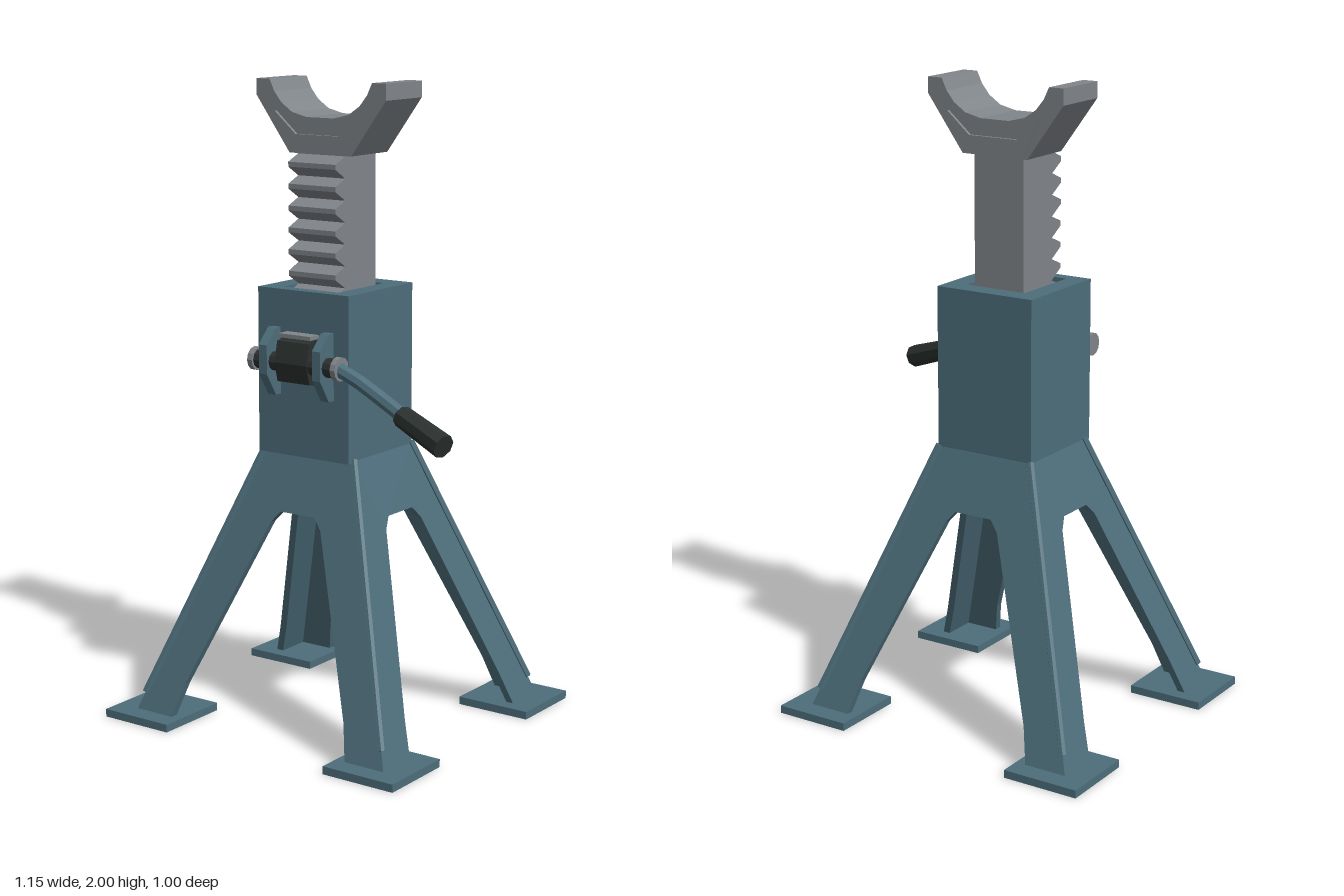
import * as THREE from 'three';

const mat = (name, color) => {
  const m = new THREE.MeshStandardMaterial({ color });
  m.name = name;
  return m;
};

export function createModel() {
  const teal = mat('tealPaint', 0x4d6e7b);
  const steel = mat('steelGrey', 0x80858a);
  const dark = mat('darkRubber', 0x2b312f);
  const model = new THREE.Group();
  model.name = 'jackStand';
  const CX = -0.025; // centre line of the stand

  const add = (parent, name, geo, material, x = 0, y = 0, z = 0) => {
    const m = new THREE.Mesh(geo, material);
    m.name = name;
    m.position.set(x, y, z);
    parent.add(m);
    return m;
  };
  const shape = (pts) => new THREE.Shape(pts.map((p) => new THREE.Vector2(p[0], p[1])));
  const extrude = (s, depth) => new THREE.ExtrudeGeometry(s, { depth, bevelEnabled: false });
  // half outline, completed by mirroring in x
  const mirrored = (pts) => shape([...pts, ...pts.map((p) => [-p[0], p[1]]).reverse()]);
  // faceted rod between two points
  const rod = (a, b, r0, r1, sides) => {
    const dir = b.clone().sub(a);
    const g = new THREE.CylinderGeometry(r1, r0, dir.length(), sides).toNonIndexed();
    g.computeVertexNormals();
    g.applyQuaternion(new THREE.Quaternion().setFromUnitVectors(new THREE.Vector3(0, 1, 0), dir.normalize()));
    const c = a.clone().add(b).multiplyScalar(0.5);
    return g.translate(c.x, c.y, c.z);
  };
  const V = (x, y, z) => new THREE.Vector3(x, y, z);

  // Legs: four sloping arched panels, welded at the corners
  const legs = new THREE.Group();
  legs.name = 'legs';
  legs.position.x = CX;
  model.add(legs);
  const panel = (top, bottom, planeTop, planeBottom) => {
    const inner = bottom - 0.14;
    const g = extrude(mirrored([
      [0.065, 0.685], [0.095, 0.65], [inner - 0.03, 0.13], [inner, 0.02], [bottom, 0.02], [top, 0.865],
    ]), 0.025);
    const p = g.attributes.position;
    const slope = (planeBottom - planeTop) / 0.845;
    for (let i = 0; i < p.count; i++) {
      p.setZ(i, p.getZ(i) - 0.025 + planeTop + (0.865 - p.getY(i)) * slope);
    }
    g.computeVertexNormals();
    return g;
  };
  const frontPanel = panel(0.17, 0.475, 0.157, 0.437);
  const sidePanel = panel(0.157, 0.437, 0.17, 0.475);
  for (let k = 0; k < 4; k++) {
    add(legs, 'legPanel', k % 2 ? sidePanel : frontPanel, teal).rotation.y = k * Math.PI / 2;
  }
  for (const sx of [-1, 1]) {
    for (const sz of [-1, 1]) {
      add(legs, 'cornerWeld', rod(V(sx * 0.168, 0.87, sz * 0.155), V(sx * 0.453, 0.08, sz * 0.417), 0.012, 0.012, 6), teal);
      add(legs, 'footPlate', new THREE.BoxGeometry(0.25, 0.025, 0.25), teal, sx * 0.425, 0.0125, sz * 0.375);
    }
  }

  // Square sleeve, open through the middle
  const sleeve = shape([[-0.195, -0.185], [0.145, -0.185], [0.145, 0.155], [-0.195, 0.155]]);
  sleeve.holes.push(new THREE.Path([[-0.13, -0.145], [-0.13, 0.09], [0.08, 0.09], [0.08, -0.145]]
    .map((p) => new THREE.Vector2(p[0], p[1]))));
  add(model, 'sleeve', extrude(sleeve, 0.515).rotateX(-Math.PI / 2), teal, 0, 0.86, 0);

  // Toothed column, profile in z and y
  const teeth = [[-0.075, 0.92], [0.085, 0.92]];
  const pitch = 0.0665;
  for (let i = 0; i < 12; i++) {
    const y = 1.778 - (12 - i) * pitch;
    teeth.push([0.085, y], [0.135, y + 0.03], [0.135, y + 0.045]);
  }
  teeth.push([0.085, 1.778], [0.085, 1.8], [-0.075, 1.8]);
  const column = extrude(shape(teeth), 0.176).rotateY(-Math.PI / 2);
  add(model, 'toothedColumn', column, steel, 0.061, 0, 0);

  // Saddle cradle and the weld collar below it
  const cradle = mirrored([
    [0.05, 1.89], [0.105, 1.903], [0.145, 1.93], [0.172, 1.963], [0.19, 2],
    [0.24, 2], [0.24, 1.95], [0.115, 1.78],
  ].reverse());
  add(model, 'saddle', extrude(cradle, 0.19), steel, CX, 0, -0.095);
  const collar = mirrored([[0.085, 1.79], [0.105, 1.79], [0.163, 1.905], [0.085, 1.838]]);
  add(model, 'saddleCollar', extrude(collar, 0.21), steel, CX, 0, -0.105);

  // Pawl bracket on the front
  const ear = extrude(shape([[0.18, 1.05], [0.21, 1.05], [0.255, 1.12], [0.255, 1.21], [0.21, 1.258], [0.18, 1.258]]), 0.03)
    .rotateY(-Math.PI / 2);
  for (const x of [-0.11, 0.09]) add(model, 'bracketEar', ear, teal, x, 0, 0);
  const pawl = extrude(shape([[0.11, 1.17], [0.185, 1.09], [0.235, 1.1], [0.25, 1.16], [0.235, 1.225], [0.19, 1.235]]), 0.12)
    .rotateY(-Math.PI / 2);
  add(model, 'pawl', pawl, dark, 0.035, 0, 0);
  add(model, 'pawlCap', new THREE.BoxGeometry(0.12, 0.012, 0.045), steel, CX, 1.241, 0.207);
  add(model, 'pivotShaft', rod(V(-0.175, 1.158, 0.217), V(0.13, 1.158, 0.217), 0.03, 0.03, 10), dark);
  for (const x of [-0.187, 0.124]) {
    add(model, 'pivotCollar', rod(V(x, 1.158, 0.217), V(x + 0.018, 1.158, 0.217), 0.037, 0.037, 12), steel);
  }

  // Bent handle with a faceted grip
  const path = new THREE.CatmullRomCurve3([
    V(0.12, 1.16, 0.217), V(0.2, 1.133, 0.222), V(0.3, 1.09, 0.236), V(0.4, 1.048, 0.256),
  ]);
  const handle = new THREE.TubeGeometry(path, 6, 0.023, 8).toNonIndexed();
  handle.computeVertexNormals();
  add(model, 'handle', handle, teal);
  add(model, 'handleGrip', rod(V(0.385, 1.053, 0.255), V(0.56, 0.993, 0.3), 0.033, 0.037, 8), dark);

  return model;
}
